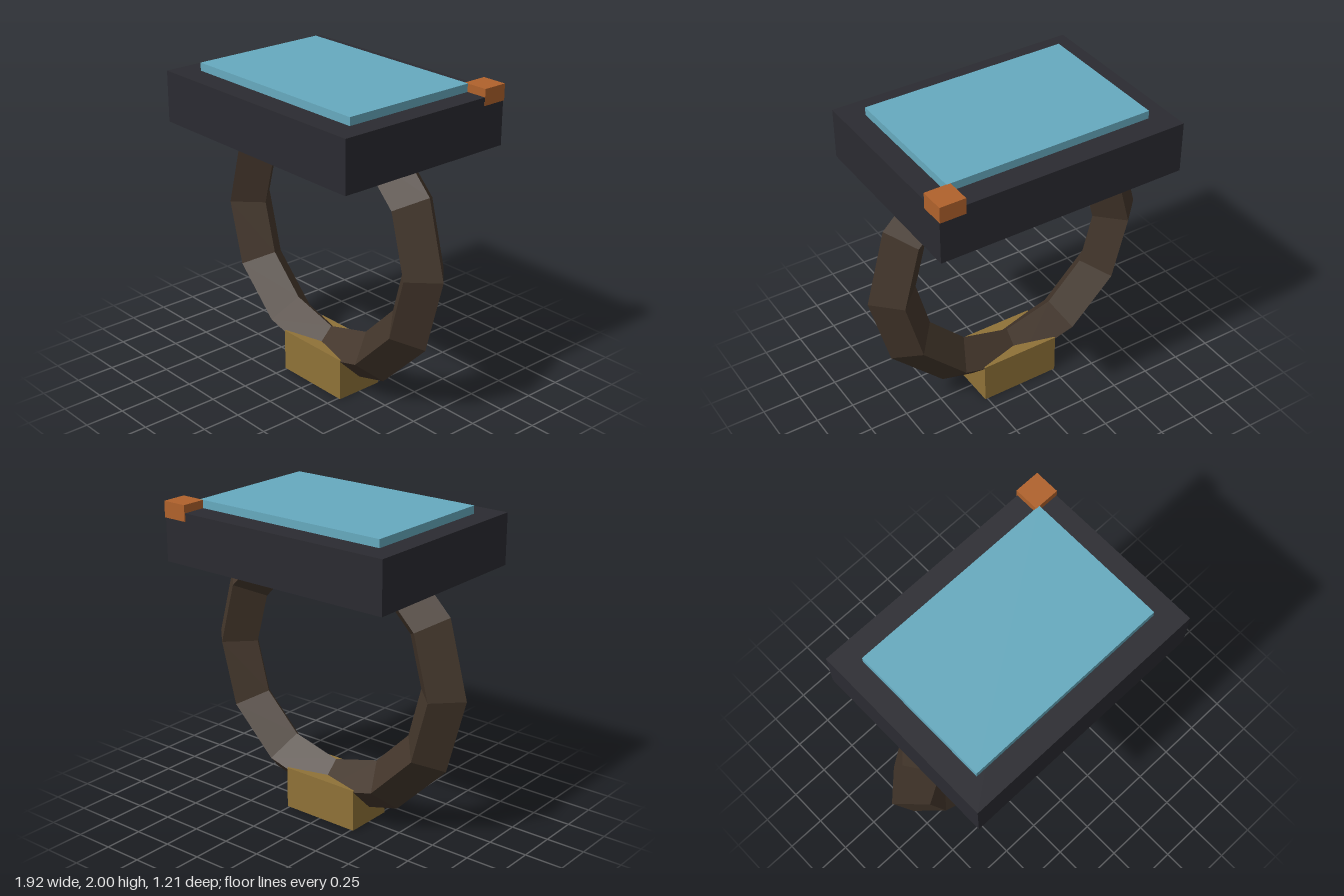
import * as THREE from 'three';

export function createModel() {
  const group = new THREE.Group();

  const add = (name, geometry, color, x, y, z) => {
    const material = new THREE.MeshStandardMaterial({ color, flatShading: true });
    const mesh = new THREE.Mesh(geometry, material);
    mesh.name = name;
    mesh.position.set(x, y, z);
    group.add(mesh);
  };

  // Low-poly band: diamond section swept round twelve sides
  add('band', new THREE.TorusGeometry(0.8, 0.16, 4, 12), 0x43362b, 0, 0.99, 0);

  // Clasp at the bottom of the band
  add('clasp', new THREE.BoxGeometry(0.53, 0.27, 0.32), 0x8f7238, 0, 0.135, 0);

  // Case with a raised screen (sunk slightly into the case)
  add('case', new THREE.BoxGeometry(1.6, 0.32, 1.2), 0x2b2b31, 0, 1.79, 0);
  add('screen', new THREE.BoxGeometry(1.33, 0.1, 0.9), 0x66aabf, 0, 1.95, 0);

  // Small block on the back left corner of the case
  add('cornerButton', new THREE.BoxGeometry(0.162, 0.1, 0.16), 0xb0622c, 0.721, 1.95, -0.527);

  return group;
}
